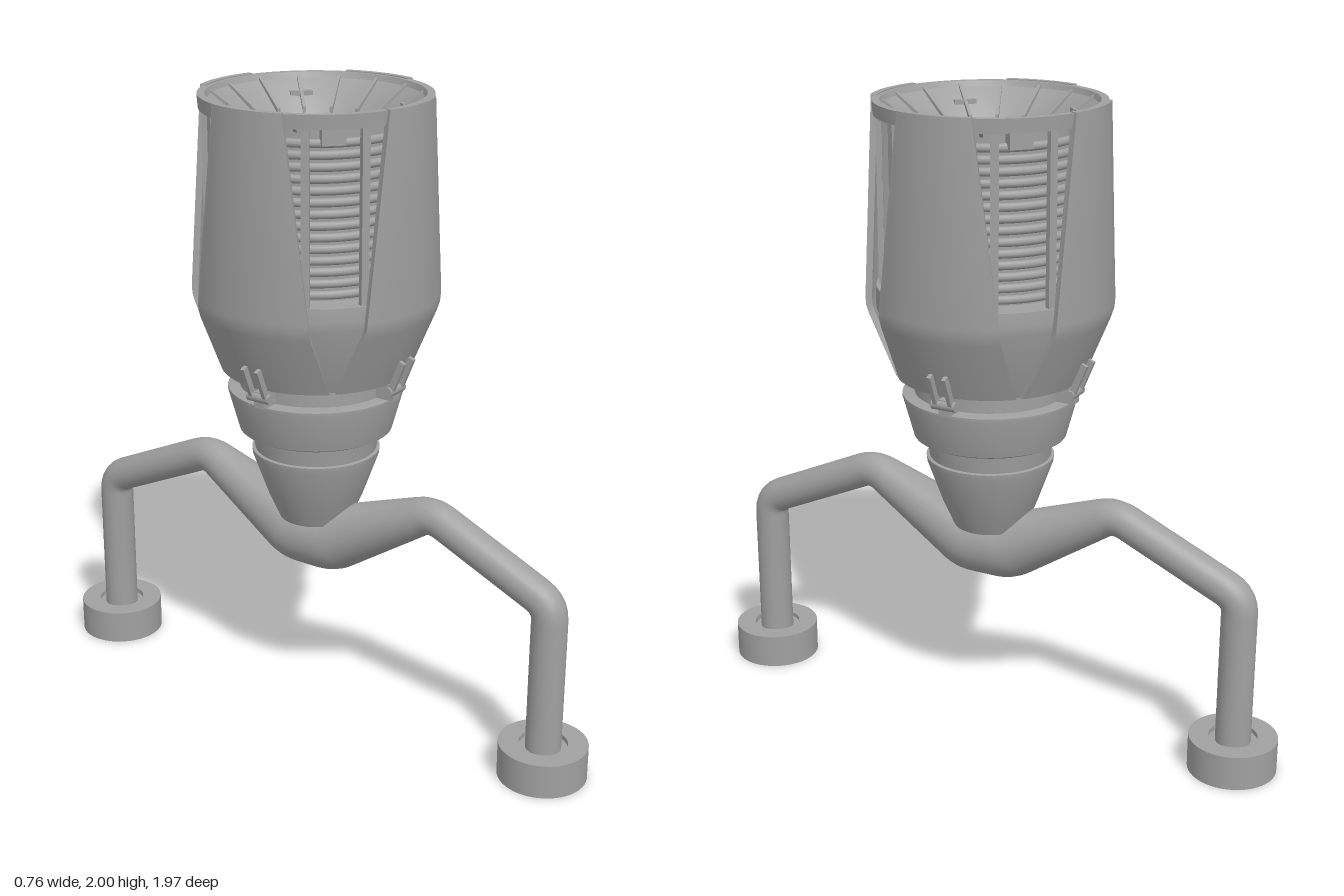
import * as THREE from 'three';
import { toCreasedNormals } from 'three/addons/utils/BufferGeometryUtils.js';

const gray = new THREE.MeshStandardMaterial({ color: 0xa0a0a0 });
gray.name = 'plain gray';

function add(parent, geometry, name, x = 0, y = 0, z = 0) {
  const mesh = new THREE.Mesh(geometry, gray);
  mesh.name = name;
  mesh.position.set(x, y, z);
  parent.add(mesh);
  return mesh;
}

// Turned part: profile of [radius, y] points, running upward on the outside
function lathe(points, segments = 64) {
  const g = new THREE.LatheGeometry(points.map(([r, y]) => new THREE.Vector2(r, y)), segments);
  return toCreasedNormals(g, 0.5);
}

// Skin a list of closed rings and cap both ends
function loft(rings) {
  const n = rings[0].length, position = [], index = [];
  rings.forEach(ring => ring.forEach(p => position.push(p.x, p.y, p.z)));
  for (let k = 0; k < rings.length - 1; k++) {
    for (let i = 0; i < n; i++) {
      const a = k * n + i, b = k * n + (i + 1) % n;
      index.push(a, b, b + n, a, b + n, a + n);
    }
  }
  const top = (rings.length - 1) * n;
  for (let i = 0; i < n / 2 - 1; i++) {
    const [a, b, c, d] = [i, i + 1, n - 2 - i, n - 1 - i];
    index.push(top + a, top + b, top + c, top + a, top + c, top + d);
    index.push(a, c, b, a, d, c);
  }
  const g = new THREE.BufferGeometry();
  g.setAttribute('position', new THREE.Float32BufferAttribute(position, 3));
  g.setIndex(index);
  return toCreasedNormals(g, 0.5);
}

// Curved armour panel: rows of [y, outer radius, half width]
function petalGeometry() {
  const rows = [[1.16, 0.292, 0.2], [1.35, 0.369, 0.2], [1.375, 0.377, 0.2],
    [1.4, 0.379, 0.2], [2, 0.357, 0.12]];
  const steps = 16;
  return loft(rows.map(([y, r, w]) => {
    const half = Math.asin(w / r), ring = [];
    for (let side = 0; side < 2; side++) {
      for (let i = 0; i <= steps; i++) {
        const a = half * (2 * i / steps - 1) * (side ? -1 : 1);
        const rr = r - side * 0.02;
        ring.push(new THREE.Vector3(rr * Math.sin(a), y, rr * Math.cos(a)));
      }
    }
    return ring;
  }));
}

// Bent, tapering tube through both legs; corners are [z, y, radius, bend size]
function legsGeometry() {
  const half = [[0.845, 0.09, 0.055, 0], [0.845, 0.575, 0.055, 0.05],
    [0.43, 0.762, 0.055, 0.05], [0.07, 0.585, 0.105, 0.03]];
  const corners = [...half, ...half.slice().reverse().map(([z, ...rest]) => [-z, ...rest])];
  const path = [];
  corners.forEach(([z, y, r, bend], k) => {
    const here = new THREE.Vector3(z, y, r);
    if (!bend) return path.push(here);
    const toward = j => {
      const p = new THREE.Vector3(...corners[j].slice(0, 3));
      return here.clone().lerp(p, bend / Math.hypot(p.x - z, p.y - y));
    };
    path.push(...new THREE.QuadraticBezierCurve3(toward(k - 1), here, toward(k + 1)).getPoints(5));
  });
  return loft(path.map((p, k) => {
    const a = path[Math.max(k - 1, 0)], b = path[Math.min(k + 1, path.length - 1)];
    const len = Math.hypot(b.x - a.x, b.y - a.y);
    const tz = (b.x - a.x) / len, ty = (b.y - a.y) / len;
    return Array.from({ length: 32 }, (_, i) => {
      const t = i / 32 * Math.PI * 2, c = p.z * Math.cos(t);
      return new THREE.Vector3(p.z * Math.sin(t), p.y - tz * c, p.x + ty * c);
    });
  }));
}

export function createModel() {
  const model = new THREE.Group();
  model.name = 'machine';

  // Legs and feet
  add(model, legsGeometry(), 'legs');
  const foot = lathe([[0, 0.015], [0.035, 0.015], [0.035, 0.065], [0.07, 0.065], [0.07, 0.03],
    [0.085, 0.03], [0.085, 0.065], [0.118, 0.065], [0.118, 0], [0.1375, 0], [0.1375, 0.11],
    [0.075, 0.11], [0.075, 0.095], [0, 0.095]], 48);
  for (const s of [1, -1]) add(model, foot, 'foot', 0, 0, s * 0.845);

  // Stepped cone under the body
  add(model, lathe([[0, 0.655], [0.115, 0.655], [0.15, 0.735], [0.198, 0.87], [0.2, 0.888],
    [0.19, 0.89], [0.198, 0.953], [0.225, 0.953], [0.238, 0.96], [0.272, 1.085], [0.272, 1.095],
    [0.235, 1.1], [0, 1.1]]), 'lowerCone');

  // Bowl that carries the panels
  add(model, lathe([[0.235, 1.09], [0.235, 1.15], [0.262, 1.155], [0.346, 1.37], [0.348, 1.4],
    [0.345, 1.44], [0.24, 1.44]]), 'bowl');

  // Ribbed core
  add(model, new THREE.CylinderGeometry(0.262, 0.262, 0.53, 48, 1, true), 'core', 0, 1.7, 0);
  const rib = new THREE.TorusGeometry(0.272, 0.013, 8, 64).rotateX(Math.PI / 2);
  for (let i = 0; i < 14; i++) add(model, rib, 'rib', 0, 1.46 + i * 0.034, 0);

  // Rim and funnel
  add(model, lathe([[0.26, 1.955], [0.345, 1.955], [0.348, 1.997], [0.325, 1.997], [0.318, 1.98],
    [0.215, 1.9], [0.205, 1.88], [0.12, 1.76], [0, 1.76]]), 'rimAndFunnel');
  const outerBlade = new THREE.Shape([[0.21, 1.89], [0.32, 1.975], [0.32, 1.99], [0.21, 1.912]]
    .map(p => new THREE.Vector2(...p)));
  const innerBlade = new THREE.Shape([[0.06, 1.76], [0.12, 1.755], [0.21, 1.88], [0.2, 1.895],
    [0.11, 1.79], [0.06, 1.79]].map(p => new THREE.Vector2(...p)));
  const outer = new THREE.ExtrudeGeometry(outerBlade, { depth: 0.01, bevelEnabled: false }).translate(0, 0, -0.005);
  const inner = new THREE.ExtrudeGeometry(innerBlade, { depth: 0.008, bevelEnabled: false }).translate(0, 0, -0.004);
  for (let i = 0; i < 16; i++) {
    const a = i / 16 * Math.PI * 2;
    add(model, outer, 'funnelSpoke').rotation.y = a;
    add(model, inner, 'innerSpoke').rotation.y = a;
  }

  // Hub in the middle of the funnel
  add(model, lathe([[0.08, 1.75], [0.08, 1.79], [0.07, 1.825], [0.05, 1.85], [0.03, 1.86],
    [0.03, 1.872], [0, 1.872]], 32), 'hub');

  // Four panels, each with its clip and neighbouring window frame
  const petal = petalGeometry();
  const bolt = new THREE.CylinderGeometry(0.016, 0.016, 0.08, 12).rotateZ(Math.PI / 2);
  for (let q = 0; q < 4; q++) {
    const side = new THREE.Group();
    side.name = 'bodyQuarter';
    side.rotation.y = q * Math.PI / 2;
    model.add(side);
    add(side, petal, 'panel');
    add(side, new THREE.BoxGeometry(0.035, 0.05, 0.08), 'clipBase', 0, 1.125, 0.255);
    add(side, bolt, 'clipBolt', 0, 1.133, 0.288);
    for (const s of [1, -1]) {
      add(side, new THREE.BoxGeometry(0.013, 0.115, 0.02), 'clipProng', s * 0.025, 1.18, 0.31).rotation.x = 0.39;
      const strut = new THREE.Group();
      strut.name = 'strutMount';
      strut.rotation.y = s * Math.PI / 6;
      side.add(strut);
      add(strut, new THREE.BoxGeometry(0.024, 0.54, 0.018), 'strut', 0, 1.7, 0.328);
    }
    const mount = new THREE.Group();
    mount.name = 'bracketMount';
    mount.rotation.y = Math.PI / 4;
    side.add(mount);
    add(mount, new THREE.BoxGeometry(0.07, 0.05, 0.04), 'bracket', 0, 1.925, 0.28);
  }
  return model;
}
